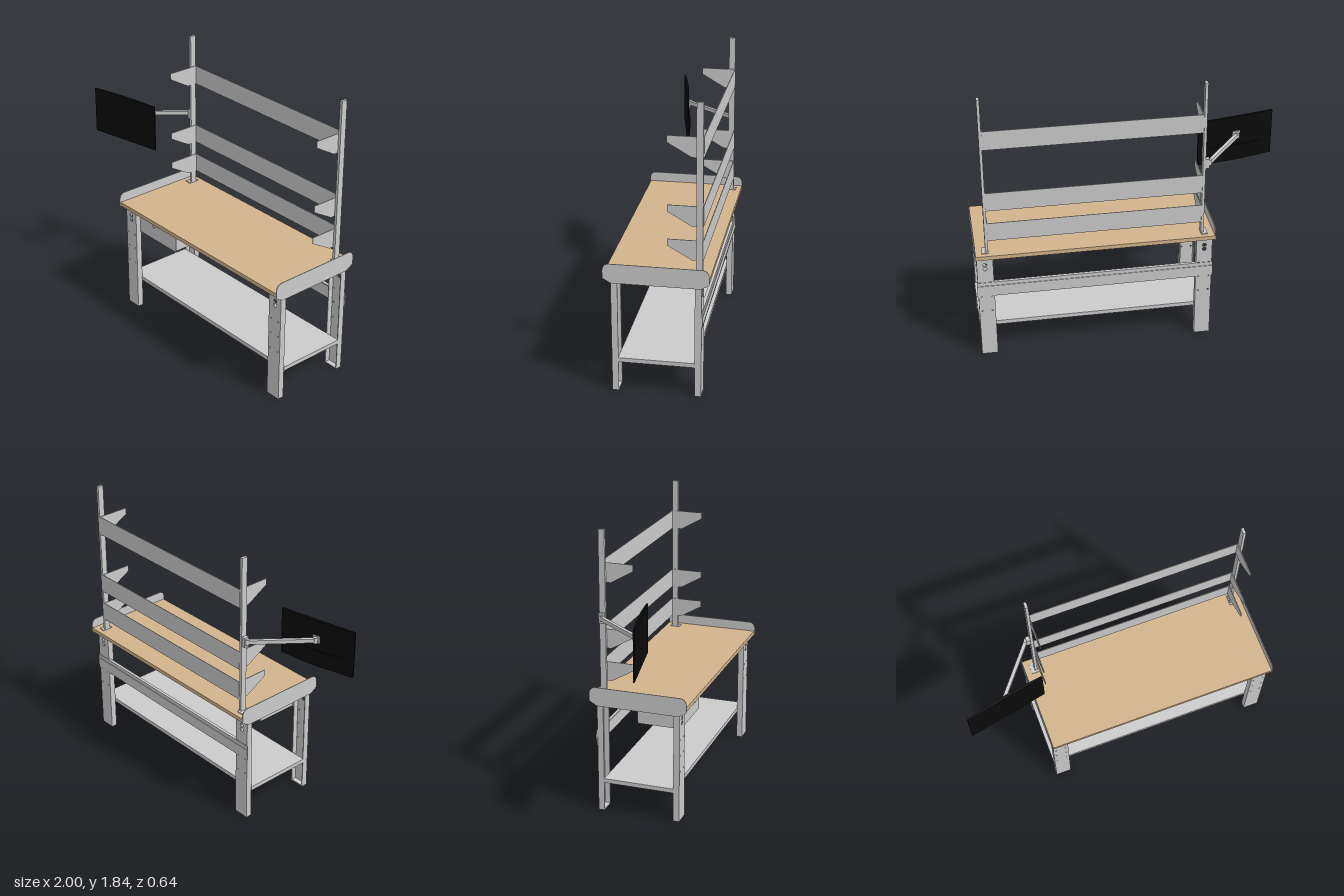
import * as THREE from 'three';

const grey = new THREE.MeshStandardMaterial({ color: 0xcccccc, side: THREE.DoubleSide });
const wood = new THREE.MeshStandardMaterial({ color: 0xd2b48c });
const black = new THREE.MeshStandardMaterial({ color: 0x0a0a0a });

const MID = 0.232; // centre of the bench along x

// Box given by its limits on each axis
function box(parent, name, [x0, x1], [y0, y1], [z0, z1], mat = grey) {
  const mesh = new THREE.Mesh(new THREE.BoxGeometry(x1 - x0, y1 - y0, z1 - z0), mat);
  mesh.position.set((x0 + x1) / 2, (y0 + y1) / 2, (z0 + z1) / 2);
  mesh.name = name;
  parent.add(mesh);
  return mesh;
}

function extrude(shape, depth) {
  return new THREE.ExtrudeGeometry(shape, { depth, bevelEnabled: false, curveSegments: 10 });
}

function polygon(points) {
  return new THREE.Shape(points.map(([x, y]) => new THREE.Vector2(x, y)));
}

// Sheet drawn in the (z, y) plane, its outer face at x
function sideSheet(parent, name, shape, x, depth) {
  const geo = extrude(shape, depth);
  geo.rotateY(-Math.PI / 2); // shape x -> z, depth -> -x
  const mesh = new THREE.Mesh(geo, grey);
  mesh.position.x = x;
  mesh.name = name;
  parent.add(mesh);
}

function circleHole(x, y, r) {
  return new THREE.Path().absarc(x, y, r, 0, Math.PI * 2, true);
}

// Channel leg: pierced face at z = 0, flanges running back to z = -0.04
function makeLeg() {
  const leg = new THREE.Group();
  const w = 0.052, t = 0.006, h = 0.75;
  const face = polygon([[-w, 0], [w, 0], [w, h], [-w, h]]);
  for (const y of [0.688, 0.657]) face.holes.push(circleHole(0, y, 0.013));
  for (const y of [0.34, 0.45, 0.555])
    for (const s of [-1, 1]) face.holes.push(circleHole(s * 0.033, y, 0.005));
  const plate = new THREE.Mesh(extrude(face, t), grey);
  plate.position.z = -t;
  plate.name = 'legFace';
  leg.add(plate);
  for (const s of [-1, 1])
    box(leg, 'legFlange', s < 0 ? [-w, -w + t] : [w - t, w], [0, h], [-0.04, -t]);
  box(leg, 'footPlate', [-w + t, w - t], [0, 0.006], [-0.04, -t]);
  return leg;
}

function makeMonitor() {
  const monitor = new THREE.Group();
  monitor.name = 'monitor';
  // Plan outline: flat screen in front, curved casing behind
  const casing = (name, half, bulge, y0, y1) => {
    const s = new THREE.Shape();
    s.moveTo(-half, 0);
    s.lineTo(half, 0);
    s.lineTo(half, 0.009);
    s.quadraticCurveTo(0, bulge, -half, 0.009);
    s.closePath();
    const geo = extrude(s, y1 - y0);
    geo.rotateX(-Math.PI / 2); // shape y -> -z
    const mesh = new THREE.Mesh(geo, black);
    mesh.position.y = y0;
    mesh.name = name;
    monitor.add(mesh);
  };
  casing('screen', 0.262, 0.032, 1.1, 1.41);
  casing('lowerCasing', 0.235, 0.052, 1.104, 1.21);
  box(monitor, 'mountPlate', [-0.025, 0.025], [1.26, 1.31], [-0.027, -0.018]);
  monitor.position.set(-0.74, 0, 0.106);
  monitor.rotation.y = 0.2;
  return monitor;
}

export function createModel() {
  const model = new THREE.Group();

  box(model, 'worktop', [-0.533, 0.997], [0.752, 0.779], [-0.318, 0.314], wood);

  // Four legs, faces outward to front and back
  for (const s of [-1, 1])
    for (const f of [-1, 1]) {
      const leg = makeLeg();
      leg.name = f > 0 ? 'frontLeg' : 'backLeg';
      leg.position.set(MID + s * 0.707, 0, f * 0.272);
      if (f < 0) leg.rotation.y = Math.PI;
      model.add(leg);
    }

  // End panels: rounded top corners, tapered below the worktop
  const end = new THREE.Shape();
  end.moveTo(-0.27, 0.72);
  end.lineTo(0.27, 0.72);
  end.lineTo(0.32, 0.75);
  end.lineTo(0.32, 0.8);
  end.quadraticCurveTo(0.315, 0.843, 0.275, 0.843);
  end.lineTo(-0.275, 0.843);
  end.quadraticCurveTo(-0.315, 0.843, -0.32, 0.8);
  end.lineTo(-0.32, 0.75);
  end.closePath();
  sideSheet(model, 'endPanel', end, -0.532, 0.005);
  sideSheet(model, 'endPanel', end, 1.0, 0.005);

  // Cross beams beneath the worktop ends
  for (const s of [-1, 1])
    box(model, 'crossBeam', [MID + s * 0.707 - 0.05, MID + s * 0.707 + 0.05], [0.744, 0.752], [-0.268, 0.268]);

  // Back beam with folded ridges
  box(model, 'backBeam', [-0.533, 0.997], [0.452, 0.556], [-0.275, -0.271]);
  box(model, 'beamRidge', [-0.533, 0.997], [0.475, 0.53], [-0.279, -0.275]);
  box(model, 'beamLip', [-0.42, 0.885], [0.548, 0.556], [-0.271, -0.255]);

  // Lower shelf: sheet with a folded rim
  box(model, 'lowerShelf', [-0.53, 0.994], [0.216, 0.224], [-0.232, 0.234]);
  for (const z of [-0.232, 0.229]) box(model, 'shelfRim', [-0.53, 0.994], [0.196, 0.216], [z, z + 0.005]);
  for (const x of [-0.53, 0.989]) box(model, 'shelfRim', [x, x + 0.005], [0.196, 0.216], [-0.227, 0.229]);

  // Drawer
  box(model, 'drawerBox', [-0.41, -0.05], [0.584, 0.748], [-0.045, 0.235]);
  box(model, 'drawerFront', [-0.42, -0.042], [0.58, 0.748], [0.235, 0.24]);
  const knob = new THREE.Mesh(new THREE.CylinderGeometry(0.012, 0.009, 0.036, 20), grey);
  knob.rotation.x = Math.PI / 2;
  knob.position.set(-0.228, 0.708, 0.258);
  knob.name = 'drawerKnob';
  model.add(knob);

  // Uprights on base plates
  for (const s of [-1, 1]) {
    const x = MID + s * 0.69;
    box(model, 'upright', [x - 0.009, x + 0.009], [0.779, 1.84], [-0.27, -0.23]);
    const outer = x + s * 0.033, inner = x - s * 0.009;
    box(model, 'uprightBase', [Math.min(inner, outer), Math.max(inner, outer)], [0.779, 0.785], [-0.285, -0.215]);
  }

  // Upper rails, each with a bracket at both ends
  for (const top of [1.63, 1.205, 0.99]) {
    box(model, 'upperRail', [-0.448, 0.912], [top - 0.126, top], [-0.271, -0.267]);
    const bracket = polygon([
      [-0.27, top - 0.126], [-0.2, top - 0.126], [-0.055, top - 0.042], [-0.055, top], [-0.27, top],
    ]);
    sideSheet(model, 'railBracket', bracket, -0.443, 0.005);
    sideSheet(model, 'railBracket', bracket, 0.913, 0.005);
  }

  // Monitor arm from the left-hand upright
  const a = new THREE.Vector3(-0.492, 1.285, -0.25), b = new THREE.Vector3(-0.75, 1.285, 0.072);
  const arm = new THREE.Mesh(new THREE.BoxGeometry(0.022, 0.026, a.distanceTo(b)), grey);
  arm.position.copy(a).lerp(b, 0.5);
  arm.lookAt(b);
  arm.name = 'monitorArm';
  model.add(arm);
  box(model, 'armBracket', [-0.49, -0.467], [1.25, 1.315], [-0.268, -0.235]);
  for (const p of [a, b]) {
    const pivot = new THREE.Mesh(new THREE.CylinderGeometry(0.014, 0.014, 0.036, 20), grey);
    pivot.position.copy(p);
    pivot.name = 'armPivot';
    model.add(pivot);
  }
  model.add(makeMonitor());

  return model;
}
